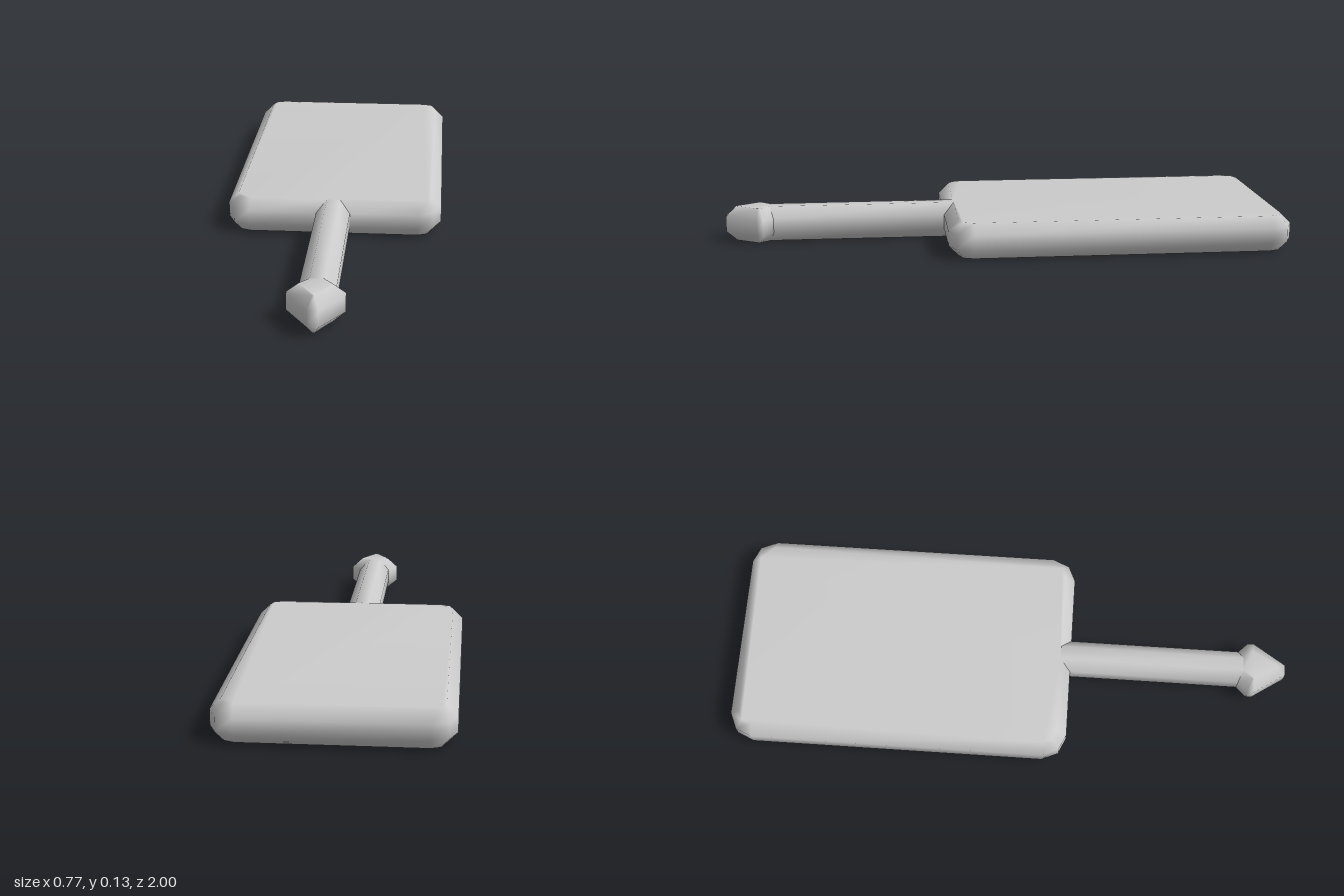
import * as THREE from 'three';

const HEIGHT = 0.127;
const BEVEL = 0.037;

// Half outlines on the +x side, listed from front to back.
// Each point: [x, z at the widest level, x, z on the flat top and bottom]
const NECK = [0.06, 0.828, 0.023, 0.842];
const ROOT = [0.06, 0.215, 0.024, 0.178];

const TIP = [
  [0.018, 1.0, 0.004, 0.963],
  [0.094, 0.885, 0.054, 0.882],
  [0.094, 0.862, 0.053, 0.876],
  NECK,
];
const GRIP = [NECK, ROOT];
const BLADE = [
  ROOT,
  [0.3, 0.215, 0.3, 0.178],
  [0.357, 0.19, 0.333, 0.165],
  [0.383, 0.13, 0.346, 0.13],
  [0.383, -0.915, 0.346, -0.915],
  [0.357, -0.975, 0.333, -0.95],
  [0.3, -1.0, 0.3, -0.963],
];

// Mirrors a half outline and lofts it through four levels with bevelled edges;
// the ends that join a neighbouring part can be left open.
function bevelledSlab(half, { openFront = false, openBack = false }) {
  const mirrored = half.map(([x, z, ix, iz]) => [-x, z, -ix, iz]).reverse();
  const outline = [...half, ...mirrored];
  const n = outline.length;
  const levels = [
    { y: 0, inset: true },
    { y: BEVEL, inset: false },
    { y: HEIGHT - BEVEL, inset: false },
    { y: HEIGHT, inset: true },
  ];
  const positions = [];
  const index = [];
  for (const { y, inset } of levels) {
    for (const [x, z, ix, iz] of outline) positions.push(inset ? ix : x, y, inset ? iz : z);
  }

  // Side walls and bevels
  for (let k = 0; k < levels.length - 1; k++) {
    for (let i = 0; i < n; i++) {
      if (openBack && i === half.length - 1) continue;
      if (openFront && i === n - 1) continue;
      const a = k * n + i;
      const b = k * n + ((i + 1) % n);
      index.push(a, b, b + n, a, b + n, a + n);
    }
  }

  // Flat top and bottom
  const contour = outline.map((p) => new THREE.Vector2(p[2], -p[3]));
  const top = 3 * n;
  for (const [a, b, c] of THREE.ShapeUtils.triangulateShape(contour, [])) {
    index.push(top + a, top + b, top + c, c, b, a);
  }

  const geometry = new THREE.BufferGeometry();
  geometry.setAttribute('position', new THREE.Float32BufferAttribute(positions, 3));
  geometry.setIndex(index);
  geometry.computeVertexNormals();
  return geometry;
}

export function createModel() {
  const group = new THREE.Group();
  group.name = 'paddle';
  const material = new THREE.MeshStandardMaterial({ color: 0xcccccc });

  const add = (name, half, ends) => {
    const mesh = new THREE.Mesh(bevelledSlab(half, ends), material);
    mesh.name = name;
    group.add(mesh);
  };

  add('blade', BLADE, { openFront: true });
  add('handle', GRIP, { openFront: true, openBack: true });
  add('pointedKnob', TIP, { openBack: true });
  return group;
}
